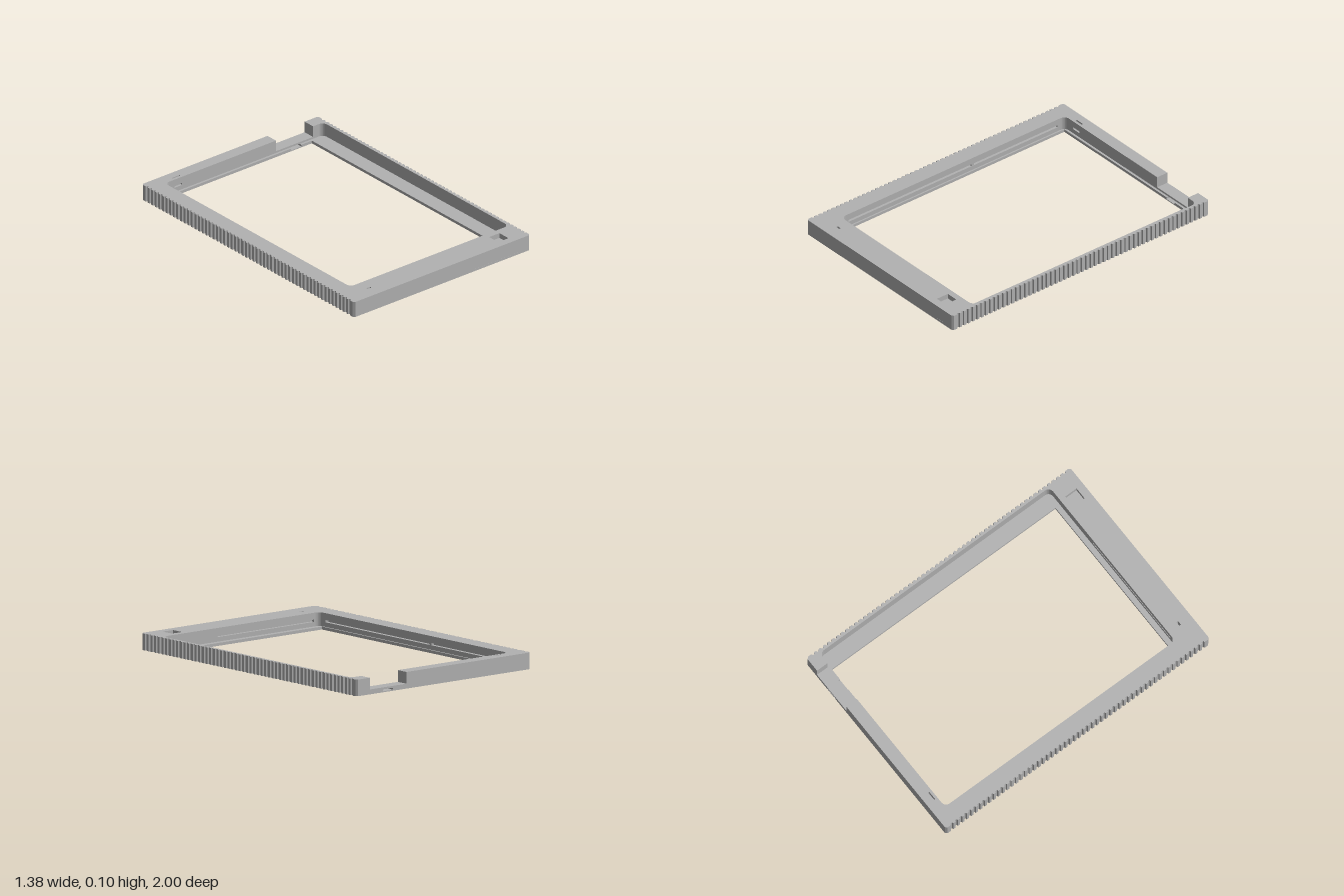
import * as THREE from 'three';

const W = 0.69, L = 1;                                   // half width, half length
const POCKET = { x0: -0.575, x1: 0.665, z0: -0.92, z1: 0.826, r: 0.035 };
const OPENING = { x0: -0.565, x1: 0.563, z0: -0.905, z1: 0.792, r: 0.004 };

// One side of grip grooves, listed from back to front
function grooves(side) {
  const pts = [], n = 57, pitch = 1.94 / n;
  for (let i = 0; i < n; i++) {
    const z = -0.97 + (i + 0.5) * pitch;
    for (const [dz, d] of [[-0.009, 0], [-0.006, 0.01], [0.006, 0.01], [0.009, 0]])
      pts.push([side * (W - d), z + dz]);
  }
  return pts;
}

// Outer outline, from the back edge round the +x side to the back edge again
function outerPoints() {
  const c = 0.012;
  return [[W - c, -L], [W, -L + c], ...grooves(1), [W, L - c], [W - c, L],
    [-W + c, L], [-W, L - c], ...grooves(-1).reverse(), [-W, -L + c], [-W + c, -L]];
}

// Inner outline in the same turning direction, with optional slots cut in the walls
function innerPoints({ x0, x1, z0, z1, r }, slots) {
  const pts = [];
  const corner = (cx, cz, a) => {
    for (let i = 0; i <= 6; i++) {
      const t = a + (i / 6) * Math.PI / 2;
      pts.push([cx + r * Math.cos(t), cz + r * Math.sin(t)]);
    }
  };
  corner(x1 - r, z0 + r, -Math.PI / 2);
  corner(x1 - r, z1 - r, 0);
  if (slots) pts.push([0.235, z1], [0.235, z1 + 0.02], [-0.53, z1 + 0.02], [-0.53, z1]);
  corner(x0 + r, z1 - r, Math.PI / 2);
  if (slots) pts.push([x0, 0.77], [x0 - 0.022, 0.77], [x0 - 0.022, -0.86], [x0, -0.86]);
  corner(x0 + r, z0 + r, Math.PI);
  if (slots) pts.push([-0.5, z0], [-0.5, z0 - 0.015], [-0.44, z0 - 0.015], [-0.44, z0]);
  return pts;
}

const vec = pts => pts.map(([x, z]) => new THREE.Vector2(x, z));
const rect = (x0, x1, z0, z1) => new THREE.Path(vec([[x0, z0], [x1, z0], [x1, z1], [x0, z1]]));

export function createModel() {
  const group = new THREE.Group();
  const grey = new THREE.MeshStandardMaterial({ color: 0xb2b2b2 });
  grey.name = 'grey plastic';

  // Horizontal slice of the frame; gap is an x range cut through the back bar
  function slice(name, y0, y1, inner, { gap, slots, holes = [] } = {}) {
    const outer = outerPoints(), hole = innerPoints(inner, slots);
    let shape;
    if (gap) {
      const [a, b] = gap;
      shape = new THREE.Shape(vec([[b, -L], ...outer, [a, -L],
        [a, inner.z0], ...hole.reverse(), [b, inner.z0]]));
    } else {
      shape = new THREE.Shape(vec(outer));
      shape.holes.push(new THREE.Path(vec(hole)));
    }
    shape.holes.push(rect(-0.515, -0.485, 0.905, 0.917), ...holes);   // lanyard hole
    const geo = new THREE.ExtrudeGeometry(shape, { depth: y1 - y0, bevelEnabled: false });
    geo.rotateX(Math.PI / 2).translate(0, y1, 0);
    const mesh = new THREE.Mesh(geo, grey);
    mesh.name = name;
    group.add(mesh);
  }

  const gap = [0.295, 0.585];
  slice('bottomPlate', 0, 0.006, OPENING);
  slice('ledgeWithCardSlot', 0.006, 0.018, OPENING, { gap: [0.4, 0.48] });
  slice('lowerWall', 0.018, 0.03, POCKET);
  slice('notchedWall', 0.03, 0.046, POCKET, { gap });
  slice('slottedWall', 0.046, 0.06, POCKET, { gap, slots: true });
  slice('upperWall', 0.06, 0.07, POCKET, { gap });
  slice('topWall', 0.07, 0.102, POCKET, {
    gap,
    holes: [rect(0.48, 0.56, 0.865, 0.95), rect(-0.5, -0.44, -0.947, -0.937)],
  });

  const box = (name, w, h, d, x, y, z) => {
    const mesh = new THREE.Mesh(new THREE.BoxGeometry(w, h, d), grey);
    mesh.name = name;
    mesh.position.set(x, y, z);
    group.add(mesh);
  };
  // Small stop inside the side groove and a fine lip low on the front face
  box('grooveStop', 0.02, 0.014, 0.02, -0.587, 0.053, -0.2);
  box('frontLip', 0.35, 0.006, 0.002, 0.425, 0.011, 1);
  return group;
}
